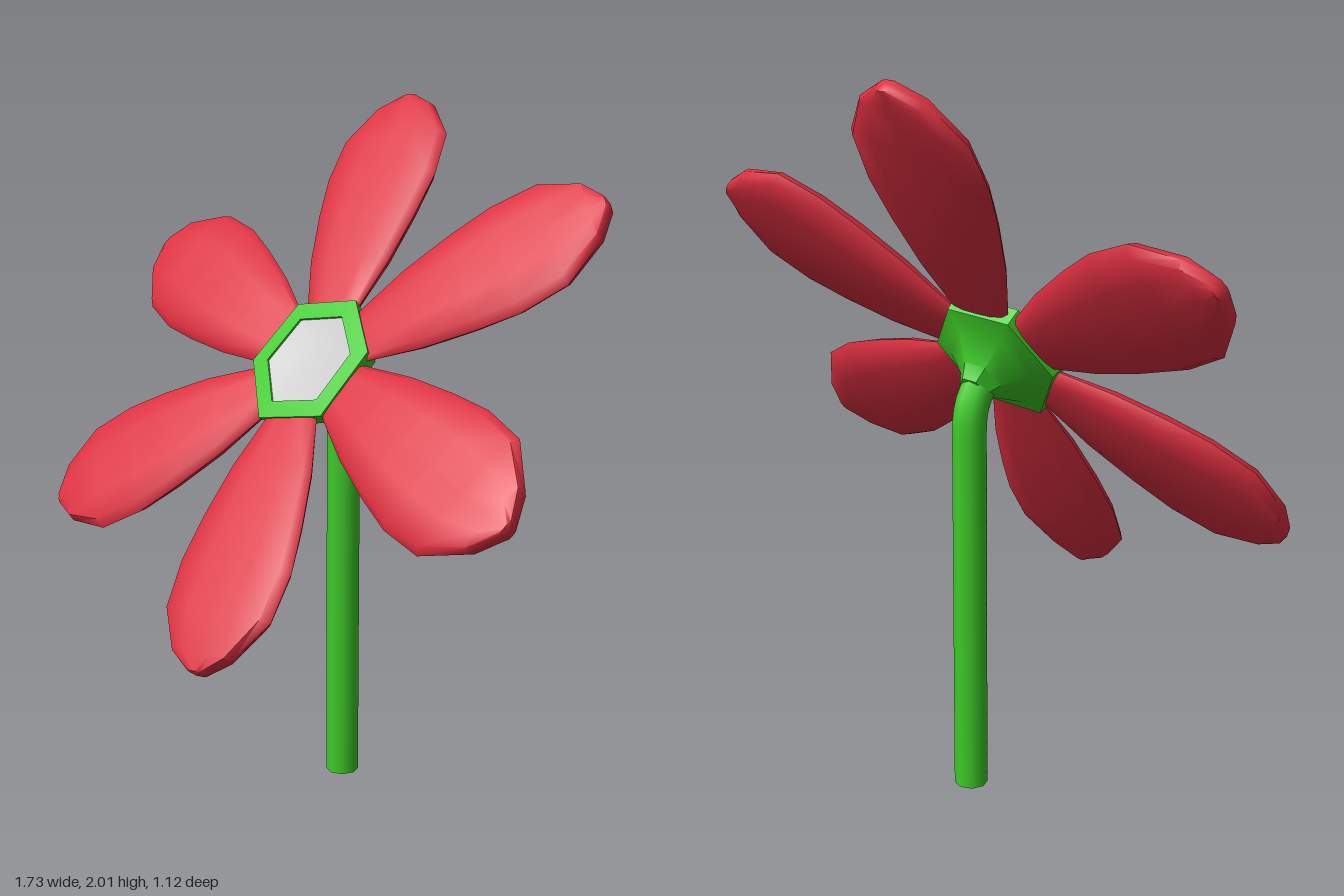
import * as THREE from 'three';
import { toCreasedNormals } from 'three/addons/utils/BufferGeometryUtils.js';

const RED = 0xdc2f40, GREEN = 0x3ecb28;

function addMesh(parent, name, geometry, color = 0xcccccc) {
  const mesh = new THREE.Mesh(geometry, new THREE.MeshStandardMaterial({ color }));
  mesh.name = name;
  parent.add(mesh);
  return mesh;
}

// Skin closed rings of points, each ring an array of [x, y, z]
function loft(rings, crease) {
  const n = rings[0].length, index = [];
  for (let i = 0; i < rings.length - 1; i++) {
    for (let j = 0; j < n; j++) {
      const a = i * n + j, b = i * n + (j + 1) % n;
      index.push(a, b, a + n, b, b + n, a + n);
    }
  }
  const geometry = new THREE.BufferGeometry();
  geometry.setAttribute('position', new THREE.Float32BufferAttribute(rings.flat(2), 3));
  geometry.setIndex(index);
  return toCreasedNormals(geometry, crease);
}

// Petal along +y: [distance, half width, front height, back depth]
function petalGeometry() {
  const stations = [
    [0.17, 0, 0, 0], [0.17, 0.09, 0.015, 0.02], [0.34, 0.145, 0.03, 0.035],
    [0.5, 0.18, 0.035, 0.04], [0.63, 0.2, 0.035, 0.04], [0.77, 0.19, 0.034, 0.036],
    [0.885, 0.105, 0.03, 0.03], [0.93, 0.025, 0.02, 0.024], [0.936, 0, 0, 0],
  ];
  // Flat front face, rounded back
  const section = [[-1, 0.1], [-0.9, 0.8], [-0.45, 1], [0, 0.95], [0.45, 1], [0.9, 0.8],
    [1, 0.1], [0.88, -0.6], [0.5, -0.95], [0, -1], [-0.5, -0.95], [-0.88, -0.6]];
  return loft(stations.map(([r, w, front, back]) =>
    section.map(([x, z]) => [x * w, r, z * (z > 0 ? front : back)])), 0.95);
}

// Slightly uneven hexagon, wound clockwise, scaled and set at height z
const hexagon = [[0.2, 0.05], [0.14, -0.16], [-0.08, -0.195], [-0.21, -0.02], [-0.14, 0.175], [0.07, 0.205]];
const hexRing = (scale, z) => hexagon.map(([x, y]) => [x * scale, y * scale, z]);

export function createModel() {
  const model = new THREE.Group();
  model.name = 'flower';

  // Tilted flower head, facing up and forward
  const head = new THREE.Group();
  head.name = 'flowerHead';
  head.position.y = 1.25;
  head.rotation.x = -0.63;
  model.add(head);

  // Six petals, one on each side of the hub
  const petal = petalGeometry();
  for (let i = 0; i < 6; i++) {
    addMesh(head, 'petal', petal, RED).rotation.z = THREE.MathUtils.degToRad(7 + i * 60);
  }

  // Green hub: front lip, outer edge and a back tapering to the stem
  addMesh(head, 'hub', loft([
    hexRing(0.7, 0.005), hexRing(0.72, 0.025), hexRing(1, 0.022), hexRing(0.96, -0.03),
    hexRing(0.65, -0.05), hexRing(0.33, -0.1), hexRing(0.22, -0.14), hexRing(0, -0.14),
  ], 0.8), GREEN);

  // Shallow grey centre inside the lip
  addMesh(head, 'flowerCentre', loft([hexRing(0, 0.008), hexRing(0.4, 0.01), hexRing(0.73, 0.02)], 0.6));

  // Stem bending forward into the back of the hub
  const path = new THREE.CurvePath();
  const foot = new THREE.Vector3(-0.008, 0, -0.138);
  const bend = new THREE.Vector3(-0.008, 1.06, -0.138);
  path.add(new THREE.LineCurve3(foot, bend));
  path.add(new THREE.QuadraticBezierCurve3(bend,
    new THREE.Vector3(-0.008, 1.16, -0.138), new THREE.Vector3(0, 1.2, -0.055)));
  addMesh(model, 'stem', new THREE.TubeGeometry(path, 40, 0.048, 8), GREEN);

  // Grey cut end of the stem
  const end = addMesh(model, 'stemEnd', new THREE.CircleGeometry(0.048, 8));
  end.rotation.x = Math.PI / 2;
  end.position.copy(foot);

  return model;
}
